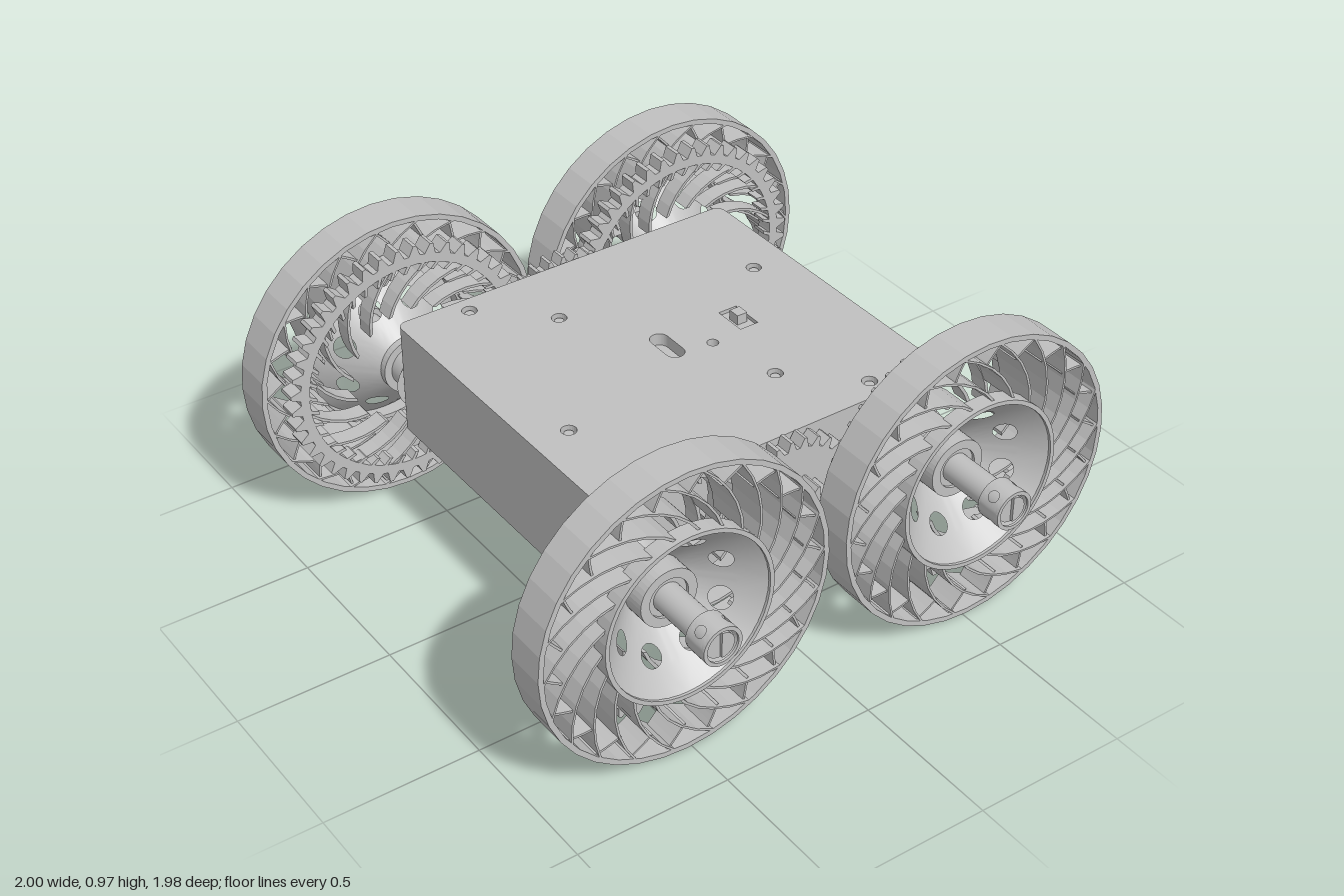
import * as THREE from 'three';
import { mergeGeometries, toCreasedNormals } from 'three/addons/utils/BufferGeometryUtils.js';
import { ParametricGeometry } from 'three/addons/geometries/ParametricGeometry.js';

const grey = new THREE.MeshStandardMaterial({ color: 0xc0c0c0, side: THREE.DoubleSide });
grey.name = 'light grey';

const AXLE_X = 0.515, AXLE_Y = 0.485, TAU = Math.PI * 2;

function add(parent, name, geometry, x = 0, y = 0, z = 0) {
  const mesh = new THREE.Mesh(geometry, grey);
  mesh.name = name;
  mesh.position.set(x, y, z);
  parent.add(mesh);
  return mesh;
}

function extrude(shape, z0, z1, segments = 12) {
  const g = new THREE.ExtrudeGeometry(shape, { depth: z1 - z0, bevelEnabled: false, curveSegments: segments });
  return g.translate(0, 0, z0);
}

// Cylinder lying along z
function rod(r0, r1, z0, z1, sides = 28) {
  return new THREE.CylinderGeometry(r1, r0, z1 - z0, sides).rotateX(Math.PI / 2).translate(0, 0, (z0 + z1) / 2);
}

function circle(x, y, r) {
  return new THREE.Path().absarc(x, y, r, 0, TAU, true);
}

function ring(outer, inner) {
  const s = new THREE.Shape().absarc(0, 0, outer, 0, TAU, false);
  s.holes.push(circle(0, 0, inner));
  return s;
}

// Toothed ring
function gearShape(teeth, root, tip, bore) {
  const pts = [];
  for (let i = 0; i < teeth; i++) {
    [[0, root], [0.3, root], [0.55, tip], [0.75, tip]].forEach(([f, r]) => {
      const a = (i + f) / teeth * TAU;
      pts.push(new THREE.Vector2(Math.cos(a) * r, Math.sin(a) * r));
    });
  }
  const s = new THREE.Shape(pts);
  s.holes.push(circle(0, 0, bore));
  return s;
}

// Surface of revolution about z, pierced by one round hole per sector
function piercedSurface(count, p0, p1, holeR) {
  const sectors = [];
  const midR = (p0[0] + p1[0]) / 2;
  const length = Math.hypot(p1[0] - p0[0], p1[1] - p0[1]);
  for (let i = 0; i < count; i++) {
    const g = new ParametricGeometry((u, v, out) => {
      const c = Math.cos(u * TAU), s = Math.sin(u * TAU);
      const k = 1 / Math.max(Math.abs(c), Math.abs(s));
      const half = Math.PI / count;
      const a = THREE.MathUtils.lerp(c * holeR / midR, c * k * half, v) + (2 * i + 1) * half;
      const t = THREE.MathUtils.lerp(0.5 + s * holeR / length, 0.5 + s * k * 0.5, v);
      const r = THREE.MathUtils.lerp(p0[0], p1[0], t);
      out.set(Math.cos(a) * r, Math.sin(a) * r, THREE.MathUtils.lerp(p0[1], p1[1], t));
    }, 32, 4);
    sectors.push(g);
  }
  return toCreasedNormals(mergeGeometries(sectors), 0.7);
}

// Thin swept vane between two polar points, repeated around the axle
function vanes(count, r0, r1, sweep, thick, z0, z1, offset = 0) {
  const inner = [], outer = [];
  for (let i = 0; i <= 5; i++) {
    const r = r0 + (r1 - r0) * i / 5, a = sweep * i / 5, d = thick / 2 / r;
    inner.push(new THREE.Vector2(Math.cos(a - d) * r, Math.sin(a - d) * r));
    outer.unshift(new THREE.Vector2(Math.cos(a + d) * r, Math.sin(a + d) * r));
  }
  const one = extrude(new THREE.Shape([...inner, ...outer]), z0, z1);
  const all = [];
  for (let i = 0; i < count; i++) all.push(one.clone().rotateZ(offset + i / count * TAU));
  return mergeGeometries(all);
}

function createWheelParts() {
  // D-shaped shaft tip
  const tip = new THREE.Shape().absarc(0, 0, 0.042, -Math.PI / 2, Math.PI / 2, false);
  return {
    tyreBand: extrude(ring(0.485, 0.468), 0.7, 0.83, 18),
    sweptVanes: vanes(22, 0.275, 0.472, 0.62, 0.011, 0.7, 0.83),
    rimBraces: vanes(22, 0.4, 0.472, -0.13, 0.009, 0.71, 0.82, 0.42),
    hubRim: extrude(ring(0.282, 0.268), 0.79, 0.845, 24),
    hubDish: piercedSurface(8, [0.09, 0.66], [0.272, 0.84], 0.036),
    crownGear: extrude(gearShape(44, 0.385, 0.418, 0.355), 0.64, 0.7, 24),
    gearWebs: vanes(16, 0.2, 0.36, 0.55, 0.013, 0.645, 0.705, 0.1),
    gearTeethInner: vanes(44, 0.33, 0.36, 0.05, 0.012, 0.64, 0.69),
    hubBoss: extrude(ring(0.095, 0.065), 0.64, 0.74, 20),
    axleSleeve: rod(0.07, 0.07, 0.55, 0.73),
    axleFlange: rod(0.1, 0.07, 0.555, 0.59),
    axleNeck: rod(0.046, 0.046, 0.7, 0.975),
    collarWall: piercedSurface(4, [0.064, 0.905], [0.064, 0.99], 0.018),
    collarBack: extrude(ring(0.064, 0.04), 0.905, 0.912, 20),
    collarFace: extrude(ring(0.064, 0.052), 0.982, 0.99, 20),
    shaftTip: extrude(tip, 0.97, 0.985),
  };
}

// Rounded rectangle in plan, centred on the origin
function plate(w, d, r) {
  const x = w / 2, y = d / 2, s = new THREE.Shape();
  s.absarc(x - r, y - r, r, 0, Math.PI / 2);
  s.absarc(-x + r, y - r, r, Math.PI / 2, Math.PI);
  s.absarc(-x + r, -y + r, r, Math.PI, Math.PI * 1.5);
  s.absarc(x - r, -y + r, r, Math.PI * 1.5, TAU);
  s.closePath();
  return s;
}

function createBody() {
  const body = new THREE.Group();
  body.name = 'body';
  const upright = (shape, y0, y1) => extrude(shape, y0, y1, 10).rotateX(-Math.PI / 2);
  add(body, 'bodyBlock', upright(plate(1.2, 1.12, 0.03), 0.34, 0.67));

  // Lid with screw holes, slot and switch opening
  const lid = plate(1.2, 1.12, 0.03);
  const holes = [[-0.38, -0.5], [-0.18, -0.31], [0.47, -0.2], [-0.475, 0.19], [0.175, 0.3], [0.375, 0.49]];
  holes.forEach(([x, z]) => lid.holes.push(circle(x, -z, 0.024)));
  lid.holes.push(circle(0.12, -0.065, 0.018));
  const slot = new THREE.Path();
  slot.absarc(0, 0.04, 0.03, 0, Math.PI, false);
  slot.absarc(0, -0.04, 0.03, Math.PI, TAU, false);
  slot.closePath();
  lid.holes.push(slot);
  lid.holes.push(new THREE.Path([[0.23, -0.055], [0.295, -0.055], [0.295, 0.055], [0.23, 0.055]]
    .map(([x, y]) => new THREE.Vector2(x, y))));
  add(body, 'lid', upright(lid, 0.67, 0.71));
  holes.forEach(([x, z]) => add(body, 'screwHead', new THREE.CylinderGeometry(0.015, 0.015, 0.03, 14), x, 0.685, z));
  add(body, 'switchBase', new THREE.BoxGeometry(0.06, 0.03, 0.105), 0.2625, 0.685, 0);
  add(body, 'switchLever', new THREE.BoxGeometry(0.036, 0.06, 0.04), 0.2625, 0.703, 0);
  return body;
}

export function createModel() {
  const model = new THREE.Group();
  model.name = 'fourWheelChassis';
  model.add(createBody());
  const parts = createWheelParts();

  // Front and back drive trains are the same assembly turned half round
  for (const end of ['front', 'back']) {
    const train = new THREE.Group();
    train.name = end + 'DriveTrain';
    if (end === 'back') train.rotation.y = Math.PI;
    for (const side of [-1, 1]) {
      const wheel = new THREE.Group();
      wheel.name = end + 'Wheel';
      wheel.position.set(side * AXLE_X, AXLE_Y, 0);
      for (const [name, geometry] of Object.entries(parts)) add(wheel, name, geometry);
      train.add(wheel);
    }
    // Reduction gears between the wheels
    add(train, 'driveGear', extrude(gearShape(30, 0.205, 0.235, 0.05), 0.57, 0.62), 0, 0.49, 0);
    add(train, 'motorGear', extrude(gearShape(18, 0.12, 0.145, 0.03), 0.572, 0.618), -0.205, 0.49, 0);
    add(train, 'pinion', extrude(gearShape(14, 0.085, 0.11, 0.045), 0.62, 0.69), 0, 0.49, 0);
    add(train, 'pinionPin', rod(0.035, 0.035, 0.55, 0.695), 0, 0.49, 0);
    model.add(train);
  }
  return model;
}
